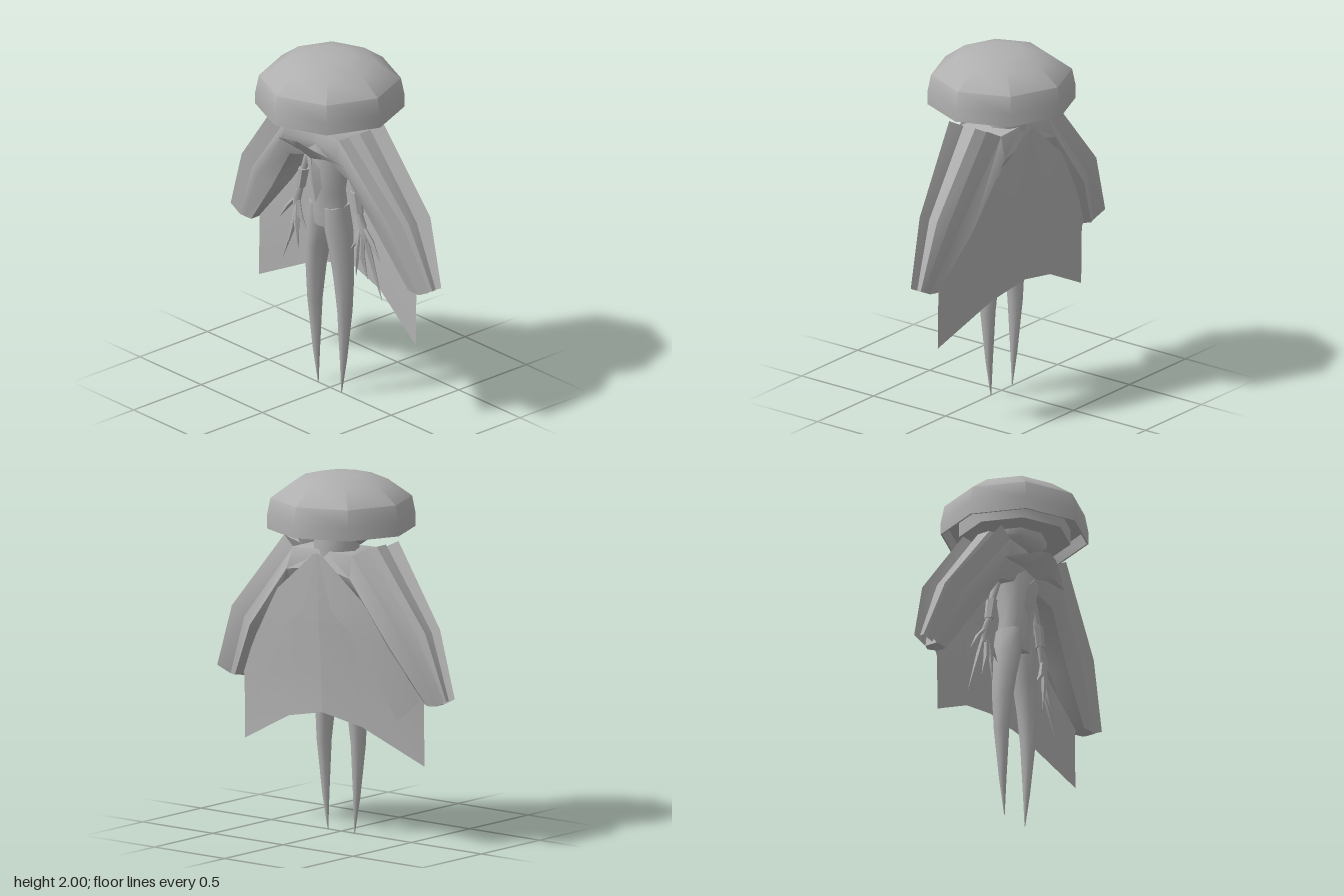
import * as THREE from 'three';
import { toCreasedNormals } from 'three/addons/utils/BufferGeometryUtils.js';

const cloth = new THREE.MeshStandardMaterial({ color: 0xb0b0b0, side: THREE.DoubleSide });
cloth.name = 'plain grey';

// Surface through rows of points; close joins each row into a ring, cap fills the ends
function skin(name, rows, { close = false, cap = false, crease = 0.9 } = {}) {
  const n = rows[0].length, index = [];
  const cols = close ? n : n - 1;
  for (let r = 0; r < rows.length - 1; r++) {
    for (let c = 0; c < cols; c++) {
      const a = r * n + c, b = r * n + (c + 1) % n;
      index.push(a, b, a + n, b, b + n, a + n);
    }
  }
  if (cap) {
    const last = (rows.length - 1) * n;
    for (let c = 1; c < n - 1; c++) index.push(0, c + 1, c, last, last + c, last + c + 1);
  }
  const g = new THREE.BufferGeometry();
  g.setAttribute('position', new THREE.Float32BufferAttribute(rows.flat(2), 3));
  g.setIndex(index);
  const mesh = new THREE.Mesh(toCreasedNormals(g, crease), cloth);
  mesh.name = name;
  return mesh;
}

// Vertical form from horizontal ellipses [x, y, z, rx, rz], listed top to bottom
function limb(name, stations, sides = 8, crease = 1.1) {
  const rows = stations.map(([x, y, z, rx, rz]) =>
    Array.from({ length: sides }, (_, i) => {
      const a = -(i / sides) * Math.PI * 2;
      return [x + Math.cos(a) * rx, y, z + Math.sin(a) * rz];
    }));
  return skin(name, rows, { close: true, cap: true, crease });
}

function lathe(name, profile) {
  const g = new THREE.LatheGeometry(profile.map(([r, y]) => new THREE.Vector2(r, y)), 8);
  g.deleteAttribute('normal');
  g.deleteAttribute('uv');
  const mesh = new THREE.Mesh(toCreasedNormals(g, 0.9), cloth);
  mesh.name = name;
  return mesh;
}

// Wide sleeve: rounded lower roll with a pleated crest along the outer edge
function sleeve(s) {
  const group = new THREE.Group();
  group.name = s > 0 ? 'leftSleeve' : 'rightSleeve';
  const stations = [
    { top: [0, 1.59], low: [0, 1.42], zf: 0.12, zb: -0.18 },
    { top: [0.21, 1.59], low: [0.24, 1.35], zf: 0.145, zb: -0.2,
      out: [0.30, 1.64], crest: [0.13, 0.04, -0.04, -0.13] },
    { top: [0.57, 1.15], low: [0.43, 1.08], zf: 0.07, zb: -0.185,
      out: [0.66, 1.2], crest: [0.055, 0, -0.055, -0.145] },
    { top: [0.73, 0.8], low: [0.64, 0.8], zf: 0.005, zb: -0.09,
      out: [0.81, 0.84], crest: [0, -0.035, -0.06, -0.09] },
  ];
  const at = (p, q, t, z) => [s * (p[0] + (q[0] - p[0]) * t), p[1] + (q[1] - p[1]) * t, z];
  const roll = stations.map(({ top, low, zf, zb }) => [
    at(top, low, 0, zf * 0.85), at(top, low, 0.4, zf), at(top, low, 1, zf * 0.55),
    at(top, low, 1, zb * 0.6), at(top, low, 0.5, zb), at(top, low, 0, zb * 0.8),
  ]);
  const pleats = stations.slice(1).map(({ top, out, zf, zb, crest }) => {
    const [a, b, c, d] = crest;
    return [
      at(top, out, 0, zf * 0.85), at(top, out, 1, a), at(top, out, 0.15, (a + b) / 2),
      at(top, out, 0.85, b), at(top, out, 0.85, c),
      at(top, out, 0.15, (c + d) / 2), at(top, out, 1, d), at(top, out, 0, zb * 0.8),
    ];
  });
  group.add(skin('sleeveRoll', roll, { close: true, cap: true, crease: 1 }));
  group.add(skin('sleevePleats', pleats, { crease: 0.5 }));
  return group;
}

// Thin arm with a cuff and five pointed fingers
function arm(s) {
  const group = new THREE.Group();
  group.name = s > 0 ? 'leftArm' : 'rightArm';
  group.add(limb('forearm', [
    [s * 0.15, 1.42, 0, 0.025, 0.025], [s * 0.215, 1.24, 0, 0.02, 0.02],
    [s * 0.235, 1.14, 0, 0.018, 0.018], [s * 0.265, 1.06, 0, 0.026, 0.022],
    [s * 0.28, 0.97, 0, 0.02, 0.015],
  ], 6));
  group.add(limb('cuff', [
    [s * 0.213, 1.25, 0, 0.032, 0.032], [s * 0.237, 1.13, 0, 0.027, 0.027],
  ], 6, 0.5));
  // knuckle x, y, then tip x, y, z
  const fingers = [
    [0.30, 0.90, 0.405, 0.645, -0.02], [0.25, 0.92, 0.235, 0.755, 0.02],
    [0.235, 0.96, 0.175, 0.89, 0.01], [0.28, 0.88, 0.325, 0.765, 0.015],
    [0.335, 0.99, 0.41, 0.89, 0],
  ];
  for (const [kx, ky, tx, ty, tz] of fingers) {
    group.add(limb('finger', [
      [s * 0.262, 1.07, 0, 0.012, 0.012],
      [s * kx, ky, tz, 0.019, 0.017],
      [s * tx, ty, tz, 0.001, 0.001],
    ], 5, 0.6));
  }
  return group;
}

export function createModel() {
  const model = new THREE.Group();
  model.name = 'hattedFigure';

  // Broad eight-sided hat, hollow beneath, with an inner band
  model.add(lathe('hat', [[0.31, 1.78], [0.385, 1.77], [0.40, 1.7], [0.41, 1.7], [0.41, 1.77],
    [0.39, 1.87], [0.255, 1.967], [0.13, 2], [0, 2]]));
  model.add(lathe('hatBand', [[0, 1.69], [0.31, 1.69], [0.31, 1.78]]));

  // Head with a pointed chin, and neck
  model.add(limb('head', [
    [0, 1.72, 0.01, 0.175, 0.17], [0, 1.655, 0.01, 0.17, 0.17],
    [0, 1.615, 0.05, 0.1, 0.12], [0, 1.58, 0.09, 0.03, 0.045],
  ]));
  model.add(limb('neck', [[0, 1.7, -0.04, 0.13, 0.12], [0, 1.56, -0.04, 0.13, 0.12]]));

  // Slim torso
  model.add(limb('torso', [
    [0, 1.57, -0.02, 0.12, 0.11], [0, 1.42, 0.01, 0.135, 0.115], [0, 1.2, 0.01, 0.1, 0.09],
    [0, 1.08, 0.005, 0.125, 0.09], [0, 1.0, 0, 0.135, 0.085],
  ]));

  // Pendant plate on the chest
  model.add(skin('pendant', [
    [[0, 1.42, 0.135], [0, 1.42, 0.14], [0, 1.42, 0.135]],
    [[-0.045, 1.36, 0.115], [0, 1.36, 0.14], [0.045, 1.36, 0.115]],
    [[-0.045, 1.25, 0.1], [0, 1.25, 0.125], [0.045, 1.25, 0.1]],
    [[0, 1.15, 0.105], [0, 1.15, 0.106], [0, 1.15, 0.105]],
  ], { crease: 0.3 }));

  // Flared collar, its peak leaning forward
  const mirrorRow = (half) => [
    ...half.slice(1).reverse().map(([x, y, z]) => [-x, y, z]), ...half];
  model.add(skin('collar', [
    mirrorRow([[0, 1.55, 0.24], [0.07, 1.535, 0.23], [0.27, 1.46, 0.14]]),
    mirrorRow([[0, 1.47, 0.18], [0.08, 1.47, 0.18], [0.27, 1.457, 0.14]]),
    mirrorRow([[0, 1.42, 0.14], [0.11, 1.448, 0.14], [0.27, 1.455, 0.13]]),
  ]));

  // Folded cape hanging down the back
  model.add(skin('cape', [
    mirrorRow([[0, 1.58, -0.2], [0.02, 1.57, -0.2], [0.04, 1.56, -0.195]]),
    mirrorRow([[0, 1.2, -0.195], [0.2, 1.2, -0.175], [0.45, 1.16, -0.13]]),
    mirrorRow([[0, 0.95, -0.175], [0.26, 0.9, -0.14], [0.64, 0.81, -0.06]]),
    mirrorRow([[0, 0.69, -0.165], [0.26, 0.635, -0.135], [0.64, 0.45, -0.055]]),
  ], { crease: 0.12 }));

  for (const s of [1, -1]) {
    model.add(sleeve(s));
    model.add(arm(s));

    // Jagged upper layer of the cape
    model.add(skin('capeFlap', [
      [[0, 1.585, -0.205], [s * 0.03, 1.575, -0.205]],
      [[s * 0.1, 1.27, -0.205], [s * 0.3, 1.35, -0.185]],
      [[s * 0.24, 1.15, -0.19], [s * 0.48, 1.1, -0.145]],
      [[s * 0.5, 0.69, -0.115], [s * 0.63, 0.82, -0.08]],
    ], { crease: 0.2 }));

    // Tapering leg ending in a point
    model.add(limb(s > 0 ? 'leftLeg' : 'rightLeg', [
      [s * 0.06, 1.12, 0.005, 0.055, 0.085], [s * 0.072, 0.98, 0, 0.07, 0.088],
      [s * 0.095, 0.85, 0, 0.06, 0.075], [s * 0.113, 0.7, 0, 0.052, 0.062],
      [s * 0.122, 0.5, 0, 0.038, 0.046], [s * 0.11, 0.2, 0, 0.02, 0.02],
      [s * 0.095, 0, 0, 0.002, 0.002],
    ]));
  }
  return model;
}
